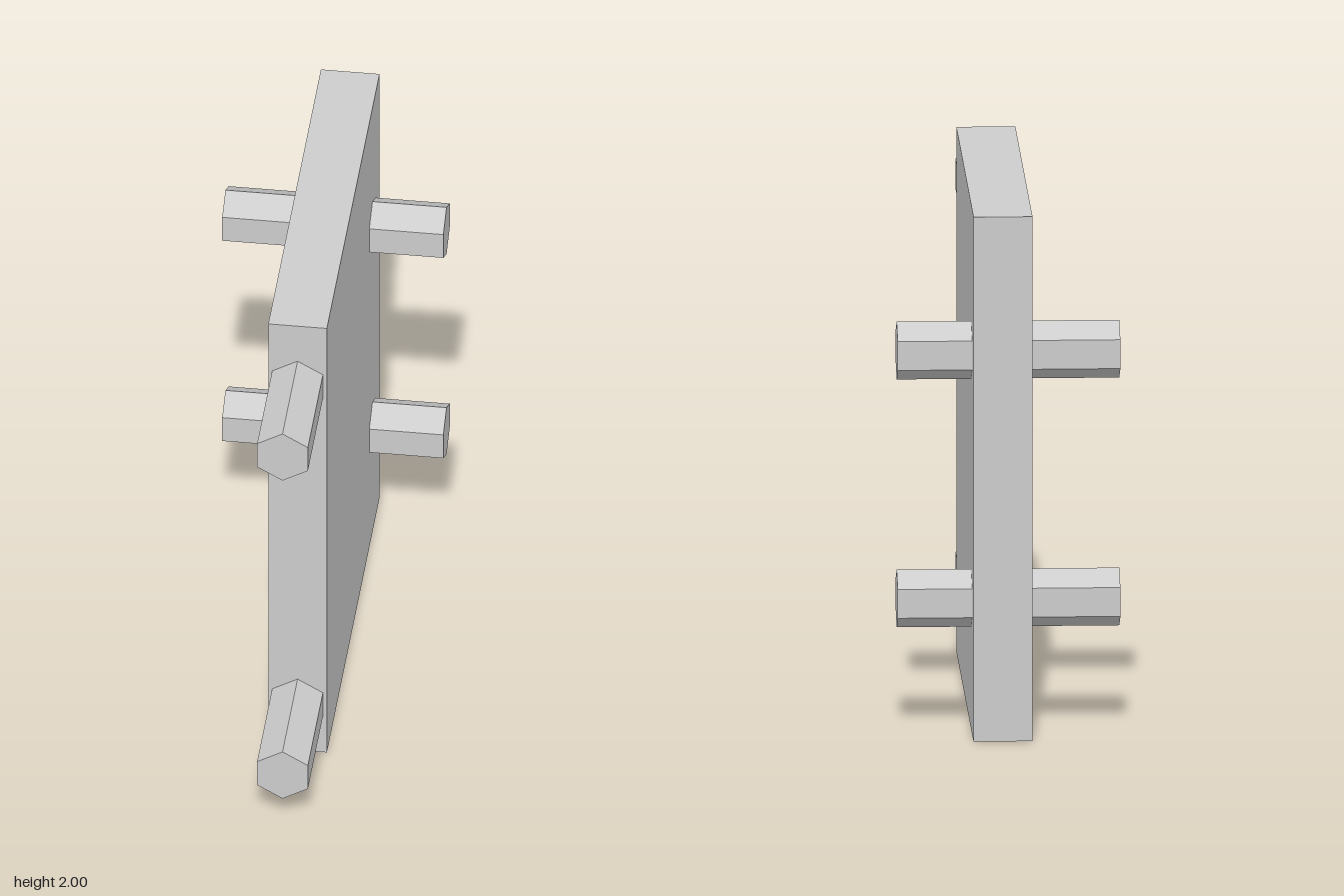
import * as THREE from 'three';

export function createModel() {
  const group = new THREE.Group();
  const grey = new THREE.MeshStandardMaterial({ color: 0xcccccc });
  grey.name = 'lightGrey';
  grey.flatShading = true;

  const add = (name, geometry, x, y, z) => {
    const mesh = new THREE.Mesh(geometry, grey);
    mesh.name = name;
    mesh.position.set(x, y, z);
    group.add(mesh);
  };

  // Upright slab
  add('panel', new THREE.BoxGeometry(0.22, 2, 1.555), 0.025, 1, -0.2225);

  // Hexagonal pegs sticking out of the front edge, a corner pointing up
  for (const y of [0.225, 1.725]) {
    const peg = new THREE.CylinderGeometry(0.11, 0.11, 0.46, 6).rotateX(Math.PI / 2);
    add('frontPeg', peg, 0.025, y, 0.77);
  }

  // Hexagonal pegs running through the panel near the back
  for (const y of [0.503, 1.448]) {
    const peg = new THREE.CylinderGeometry(0.11, 0.11, 0.83, 6)
      .rotateY(Math.PI / 2)
      .rotateZ(Math.PI / 2);
    add('crossPeg', peg, -0.002, y, -0.793);
  }
  return group;
}
